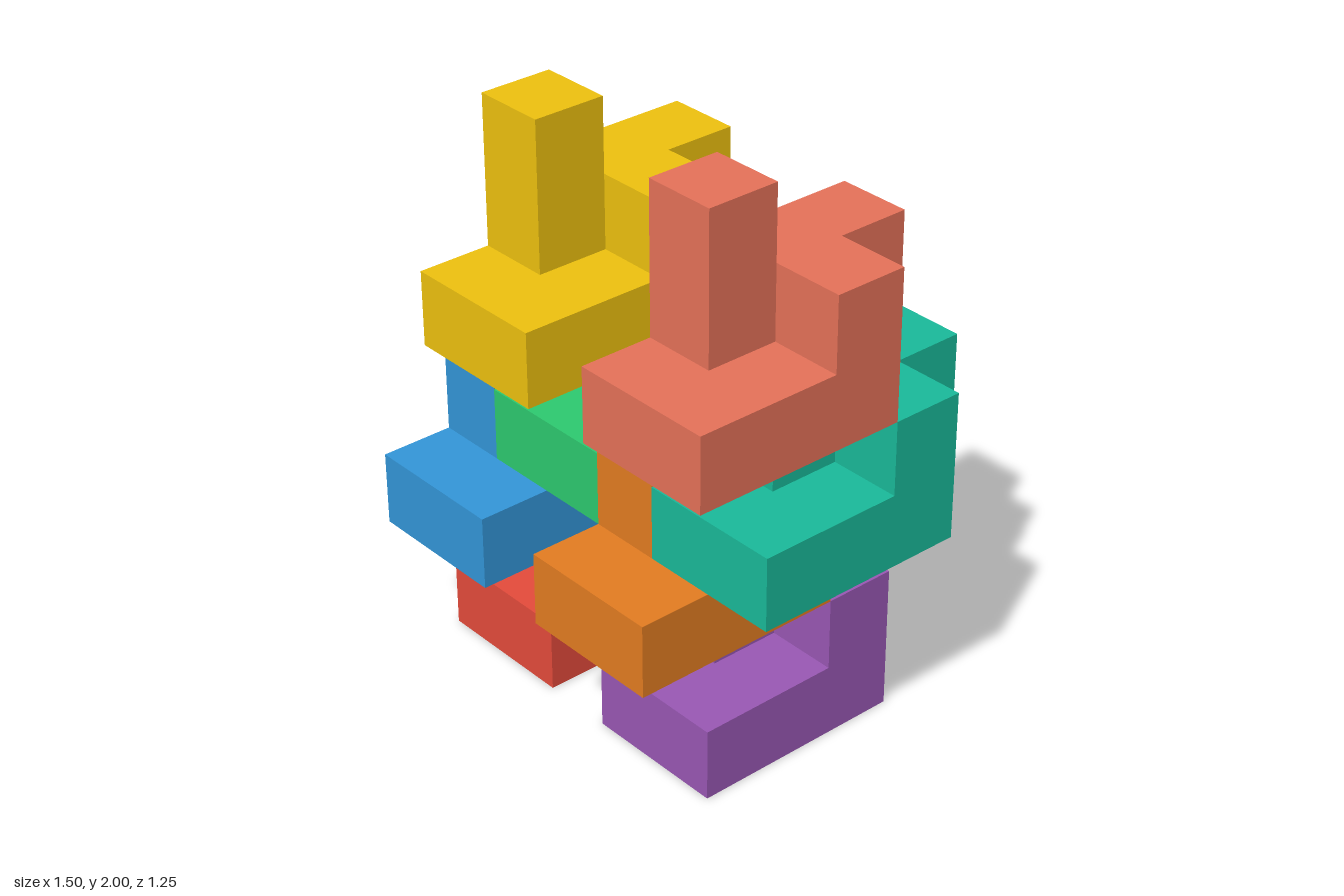
import * as THREE from 'three';
import { mergeGeometries } from 'three/addons/utils/BufferGeometryUtils.js';

const U = 0.25; // edge of one cube cell

// Cells [x, y, z] of the interlocking piece that every block repeats
const CELLS = [
  [1, 0, 1], [1, 0, 2], [1, 0, 3], [0, 0, 3], // lower hook
  [1, 1, 1], [0, 1, 0], [0, 1, 1], [0, 1, 2], // upper T
  [0, 2, 2],                                  // upright peg
];

// Direction of each cube side with the turn that points a plane that way
const SIDES = [
  [[1, 0, 0], [0, Math.PI / 2]], [[-1, 0, 0], [0, -Math.PI / 2]],
  [[0, 1, 0], [-Math.PI / 2, 0]], [[0, -1, 0], [Math.PI / 2, 0]],
  [[0, 0, 1], [0, 0]], [[0, 0, -1], [0, Math.PI]],
];

// Only the outer faces of the cells are kept
function pieceGeometry() {
  const filled = new Set(CELLS.map(String));
  const faces = [];
  for (const cell of CELLS) {
    for (const [dir, [rx, ry]] of SIDES) {
      if (filled.has(String(cell.map((c, i) => c + dir[i])))) continue;
      const centre = cell.map((c, i) => (c + 0.5 + dir[i] / 2) * U);
      faces.push(new THREE.PlaneGeometry(U, U).rotateX(rx).rotateY(ry).translate(...centre));
    }
  }
  return mergeGeometries(faces);
}

// Name, colour and grid position of each piece
const PIECES = [
  ['redPiece', 0xe74c3c, [0, 0, 0]],
  ['purplePiece', 0x9b59b6, [3, 0, 0]],
  ['bluePiece', 0x3498db, [0, 2, 1]],
  ['orangePiece', 0xe67e22, [3, 2, 1]],
  ['greenPiece', 0x2ecc71, [1, 3, 0]],
  ['tealPiece', 0x1abc9c, [4, 3, 0]],
  ['yellowPiece', 0xf1c40f, [1, 5, 1]],
  ['salmonPiece', 0xe8735a, [4, 5, 1]],
];

export function createModel() {
  const model = new THREE.Group();
  model.name = 'interlockingPieces';
  const geometry = pieceGeometry();
  for (const [name, color, [x, y, z]] of PIECES) {
    const piece = new THREE.Mesh(geometry, new THREE.MeshStandardMaterial({ color }));
    piece.name = name;
    piece.position.set(x * U - 0.75, y * U, z * U - 0.625);
    model.add(piece);
  }
  return model;
}
